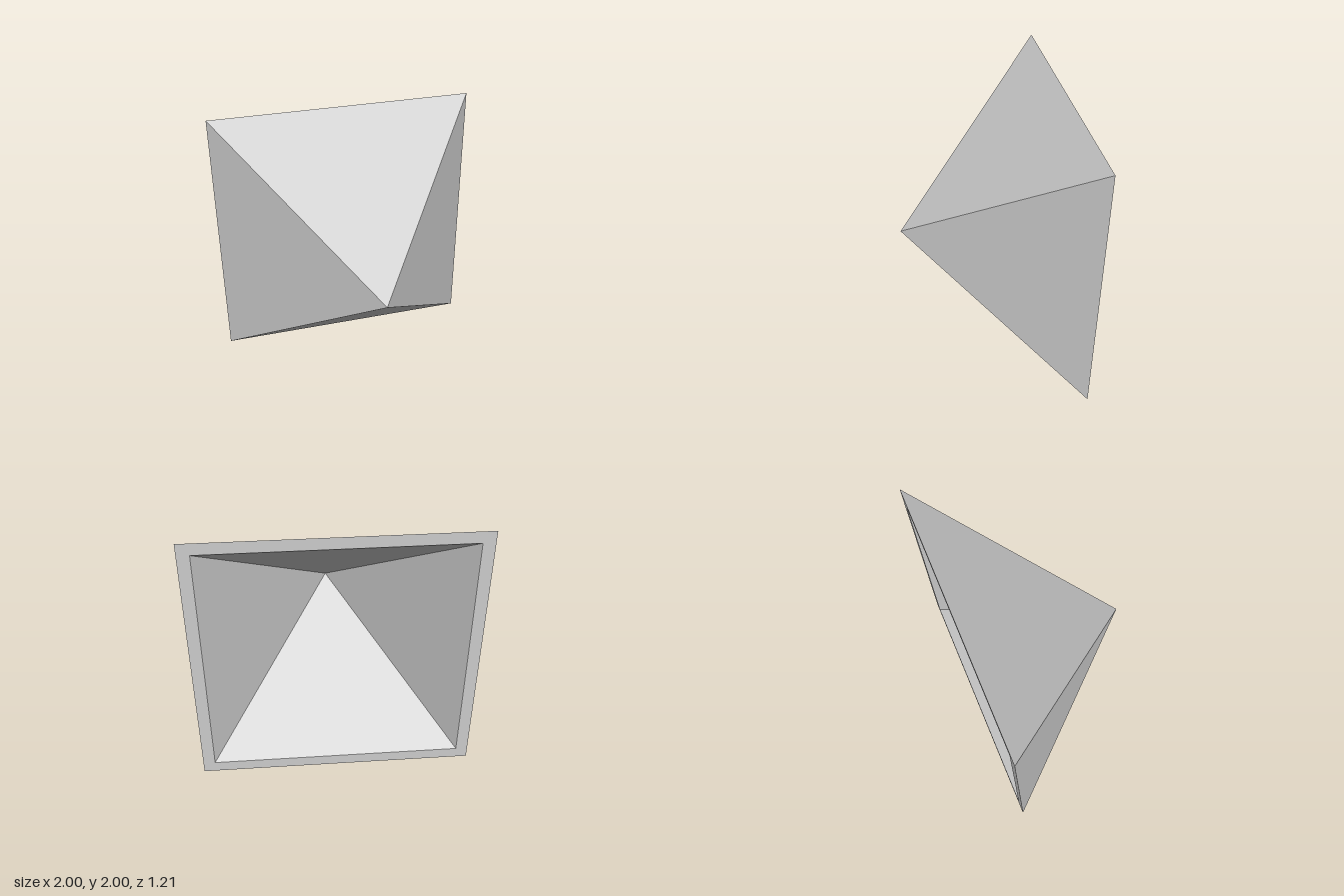
import * as THREE from 'three';

// Hollow four-sided pyramid shell: open at the back, its point facing +z
export function createModel() {
  const group = new THREE.Group();
  group.name = 'pyramidShell';

  const backZ = -0.605, outerTip = 0.605, innerTip = 0.515;
  const outerHalf = 1, innerHalf = 0.914;

  // Profile of (half width, z): inner tip, inner rim, outer rim, outer tip
  const profile = [
    [0, innerTip],
    [innerHalf, backZ],
    [outerHalf, backZ],
    [0, outerTip],
  ].map(([half, z]) => new THREE.Vector2(half * Math.SQRT2, z));

  // Four segments turned by 45 degrees make the square section
  const geometry = new THREE.LatheGeometry(profile, 4, Math.PI / 4)
    .rotateX(Math.PI / 2)
    .toNonIndexed();
  geometry.computeVertexNormals();

  const shell = new THREE.Mesh(
    geometry,
    new THREE.MeshStandardMaterial({ color: 0xcccccc, flatShading: true })
  );
  shell.name = 'shell';
  shell.position.y = 1;
  group.add(shell);
  return group;
}
